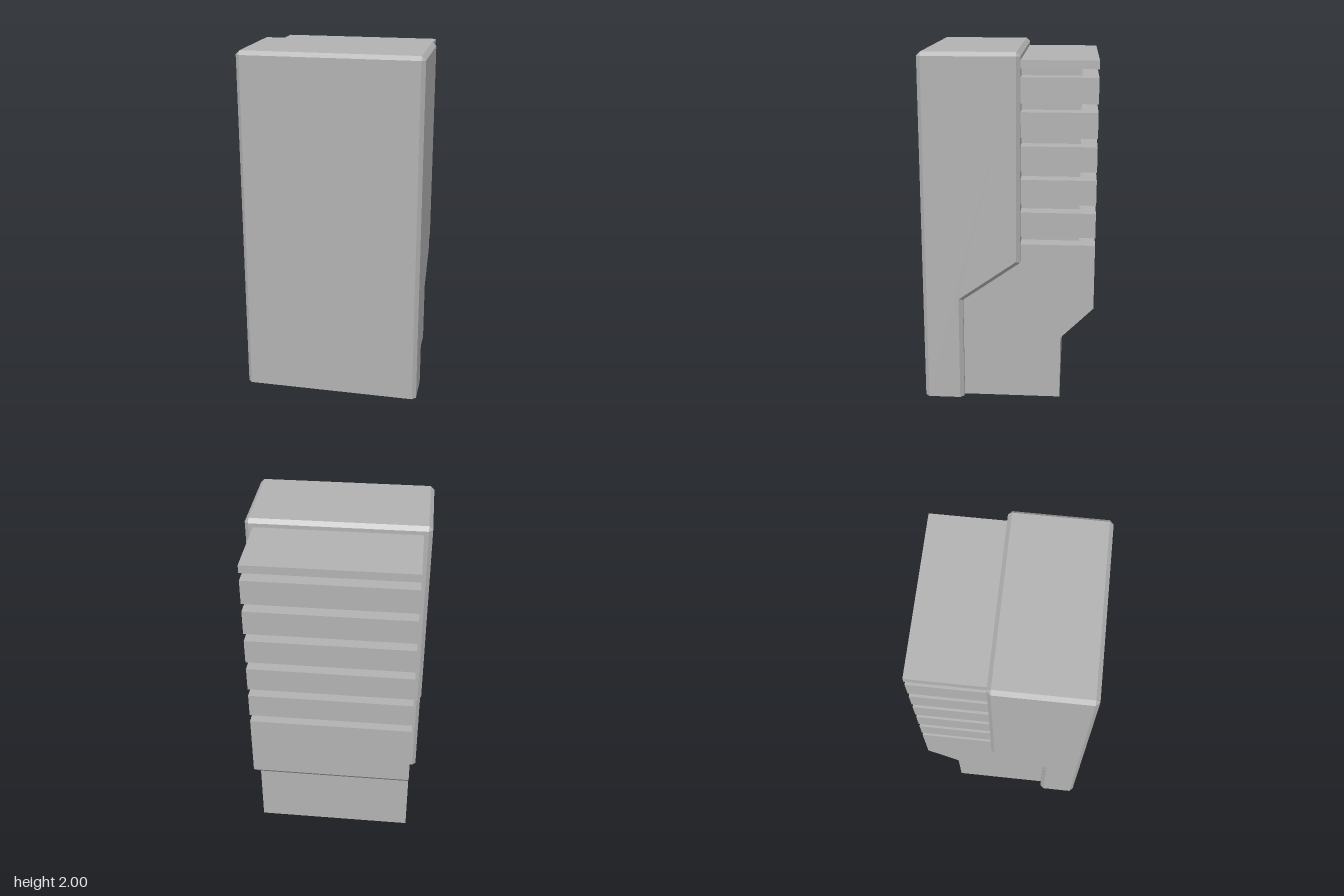
import * as THREE from 'three';

const grey = new THREE.MeshStandardMaterial({ color: 0xb2b2b2 });
grey.name = 'grey';

function addMesh(group, geometry, name) {
  const mesh = new THREE.Mesh(geometry, grey);
  mesh.name = name;
  group.add(mesh);
  return mesh;
}

// Box given by its half width and its y and z ranges
function addBlock(group, name, halfWidth, y0, y1, z0, z1) {
  const mesh = addMesh(group, new THREE.BoxGeometry(halfWidth * 2, y1 - y0, z1 - z0), name);
  mesh.position.set(0, (y0 + y1) / 2, (z0 + z1) / 2);
}

// Solid through side profiles [z, y] placed at successive x, with flat end caps
function loftAcross(sections) {
  const pos = [];
  const at = ({ x, pts }, j) => new THREE.Vector3(x, pts[j % pts.length][1], pts[j % pts.length][0]);
  const tri = (a, b, c) => {
    const area = b.clone().sub(a).cross(c.clone().sub(a)).length();
    if (area > 1e-8) for (const p of [a, b, c]) pos.push(p.x, p.y, p.z);
  };
  for (let i = 0; i + 1 < sections.length; i++) {
    const s = sections[i], t = sections[i + 1];
    for (let j = 0; j < s.pts.length; j++) {
      tri(at(s, j), at(s, j + 1), at(t, j + 1));
      tri(at(s, j), at(t, j + 1), at(t, j));
    }
  }
  for (const s of [sections[0], sections[sections.length - 1]]) {
    const unique = s.pts.filter((p, j) => j === 0 || p !== s.pts[j - 1]);
    const cap = { x: s.x, pts: unique };
    const outline = unique.map(([z, y]) => new THREE.Vector2(-z, y));
    for (const [a, b, c] of THREE.ShapeUtils.triangulateShape(outline, [])) {
      if (s.x > 0) tri(at(cap, a), at(cap, b), at(cap, c));
      else tri(at(cap, a), at(cap, c), at(cap, b));
    }
  }
  const geometry = new THREE.BufferGeometry();
  geometry.setAttribute('position', new THREE.Float32BufferAttribute(pos, 3));
  geometry.computeVertexNormals();
  return geometry;
}

export function createModel() {
  const model = new THREE.Group();
  model.name = 'slattedBlock';

  // Front shell: chamfered on every edge except around the base
  const outer = [
    [0.485, 0], [0.258, 0], [0.258, 0.602], [-0.068, 0.833],
    [-0.068, 1.978], [-0.046, 2], [0.463, 2], [0.485, 1.978],
  ];
  const topBack = [-0.046, 1.978], topFront = [0.463, 1.978];
  const inner = [
    [0.463, 0], [0.28, 0], [0.28, 0.613], [-0.046, 0.845],
    topBack, topBack, topFront, topFront,
  ];
  addMesh(model, loftAcross([
    { x: -0.51, pts: inner }, { x: -0.488, pts: outer },
    { x: 0.488, pts: outer }, { x: 0.51, pts: inner },
  ]), 'frontShell');

  // Lower rear body with its sloped step
  const body = [
    [0.258, 0], [-0.3, 0], [-0.3, 0.375], [-0.485, 0.56],
    [-0.485, 0.935], [-0.068, 0.935], [-0.068, 0.833], [0.258, 0.602],
  ];
  addMesh(model, loftAcross([{ x: -0.463, pts: body }, { x: 0.463, pts: body }]), 'rearBody');

  // Recessed core behind the slats
  addBlock(model, 'core', 0.373, 0.935, 1.93, -0.395, -0.068);

  // Five slats and a thin top plate
  for (let i = 0; i < 5; i++) {
    const y = 0.98 + i * 0.1865;
    addBlock(model, 'slat', 0.463, y, y + 0.14, -0.485, -0.068);
  }
  addBlock(model, 'topPlate', 0.463, 1.911, 1.956, -0.485, -0.068);

  return model;
}
